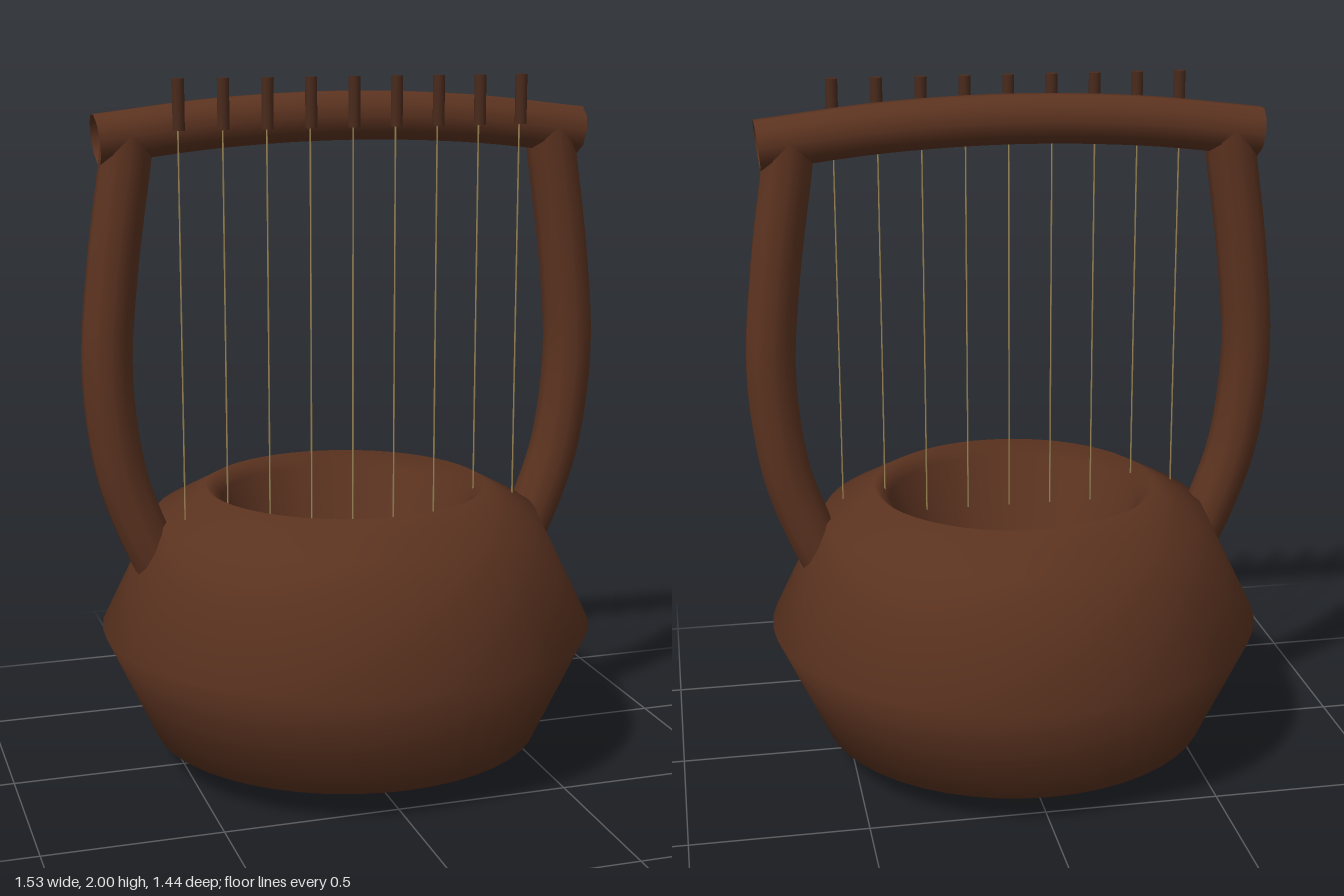
import * as THREE from 'three';

export function createModel() {
  const model = new THREE.Group();
  const makeMaterial = (name, color) => {
    const material = new THREE.MeshStandardMaterial({ color, side: THREE.DoubleSide });
    material.name = name;
    return material;
  };
  const wood = makeMaterial('brown wood', 0x5c3320);
  const pegWood = makeMaterial('dark peg wood', 0x4a2a1c);
  const gut = makeMaterial('string gut', 0x9a8455);

  const add = (name, geometry, material, x = 0, y = 0, z = 0) => {
    const mesh = new THREE.Mesh(geometry, material);
    mesh.name = name;
    mesh.position.set(x, y, z);
    model.add(mesh);
  };
  const tube = (points, segments, radius) => new THREE.TubeGeometry(
    new THREE.CatmullRomCurve3(points.map(([x, y]) => new THREE.Vector3(x, y, 0))),
    segments, radius, 10);

  // Hollow sound bowl: outer shell, soft lip, then the funnel inside down to the hole
  const profile = [
    [0.08, 0], [0.57, 0.085], [0.72, 0.41], [0.56, 0.74], [0.41, 0.82],
    [0.365, 0.78], [0.08, 0.005],
  ].map(([x, y]) => new THREE.Vector2(x, y));
  add('soundBowl', new THREE.LatheGeometry(profile, 48), wood);

  // Curved arms, rooted in the shoulder of the bowl
  const armPath = [[0.56, 0.62], [0.605, 0.72], [0.665, 0.9], [0.697, 1.18], [0.675, 1.48], [0.632, 1.78], [0.625, 1.845]];
  for (const side of [1, -1]) {
    add(side > 0 ? 'leftArm' : 'rightArm', tube(armPath.map(([x, y]) => [side * x, y]), 32, 0.072), wood);
  }

  // Bowed crossbar, open at both ends
  add('crossbar', tube([[-0.712, 1.835], [-0.36, 1.874], [0, 1.888], [0.36, 1.874], [0.712, 1.835]], 24, 0.071), wood);

  // Tuning pegs and the strings hanging from them
  const pegGeometry = new THREE.CylinderGeometry(0.017, 0.017, 0.14, 12);
  const stringGeometry = new THREE.CylinderGeometry(0.0025, 0.0025, 1.15, 6);
  for (let i = 0; i < 9; i++) {
    const x = -0.5 + i * 0.1245;
    add('tuningPeg', pegGeometry, pegWood, x, 1.93, 0.09);
    add('string', stringGeometry, gut, x, 1.295, 0.08);
  }
  return model;
}
